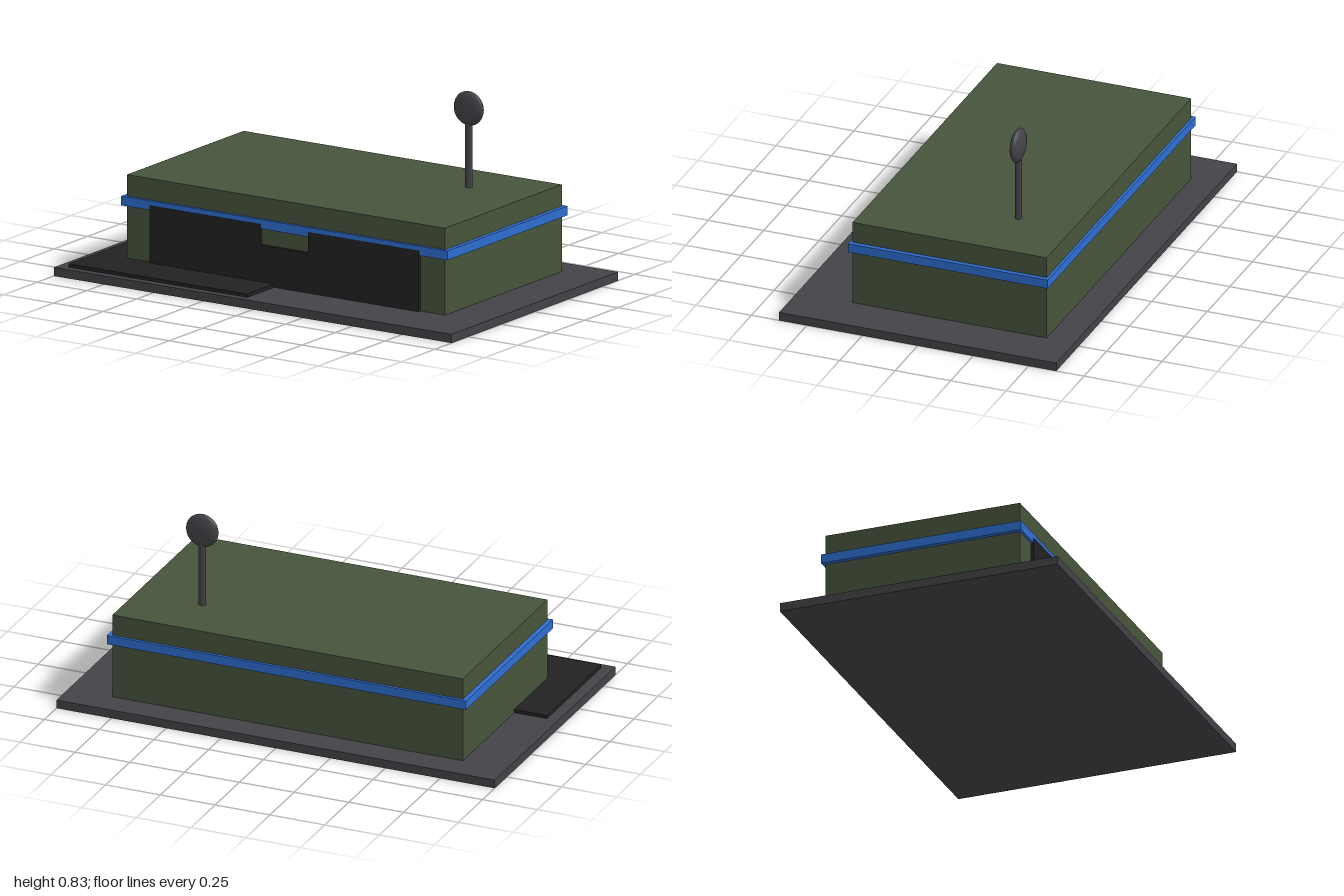
import * as THREE from 'three';

const material = (name, color) => {
  const m = new THREE.MeshStandardMaterial({ color });
  m.name = name;
  return m;
};

export function createModel() {
  const model = new THREE.Group();
  model.name = 'building';
  const grey = material('concreteGrey', 0x434247);
  const green = material('oliveGreen', 0x47543c);
  const blue = material('trimBlue', 0x2e6dd0);
  const black = material('asphaltBlack', 0x222222);

  const add = (name, geometry, mat) => {
    const mesh = new THREE.Mesh(geometry, mat);
    mesh.name = name;
    model.add(mesh);
    return mesh;
  };
  // Box given by its lowest and highest corners
  const box = (name, [x0, y0, z0], [x1, y1, z1], mat) =>
    add(name, new THREE.BoxGeometry(x1 - x0, y1 - y0, z1 - z0), mat)
      .position.set((x0 + x1) / 2, (y0 + y1) / 2, (z0 + z1) / 2);

  const ground = 0.0375;
  box('basePlate', [-1, 0, -0.625], [1, ground, 0.625], grey);
  box('buildingBody', [-0.8, ground, -0.5], [0.8, 0.4125, 0.375], green);
  box('trimBand', [-0.82, 0.28, -0.5125], [0.82, 0.32, 0.3875], blue);
  box('pavedYard', [-0.95, ground, 0.03], [-0.05, 0.0525, 0.59], black);

  // Front opening panel, notched at the top middle
  const outline = [
    [-0.677, ground], [0.677, ground], [0.677, 0.3], [0.12, 0.3],
    [0.12, 0.21], [-0.12, 0.21], [-0.12, 0.3], [-0.677, 0.3],
  ].map(([x, y]) => new THREE.Vector2(x, y));
  add('frontOpening', new THREE.ExtrudeGeometry(new THREE.Shape(outline),
    { depth: 0.02, bevelEnabled: false }), black).position.z = 0.37;

  // Rooftop mast with a flattened dish
  add('antennaMast', new THREE.CylinderGeometry(0.015, 0.015, 0.34, 12), grey)
    .position.set(0.5, 0.57, -0.25);
  const dish = add('antennaDish', new THREE.SphereGeometry(0.074, 20, 14), grey);
  dish.scale.z = 0.34;
  dish.position.set(0.5, 0.752, -0.25);

  return model;
}
